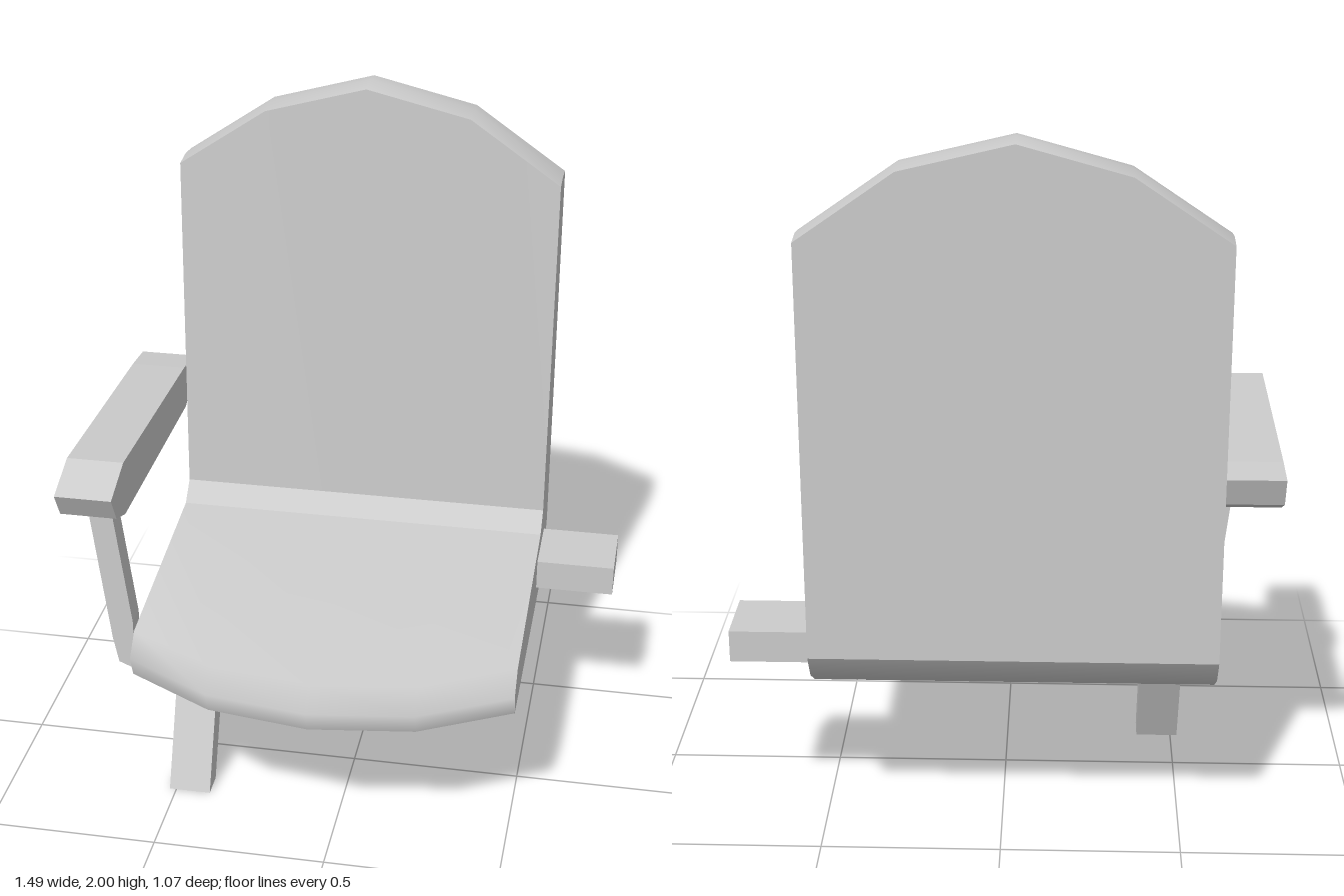
import * as THREE from 'three';

const grey = new THREE.MeshStandardMaterial({ color: 0xcccccc, side: THREE.DoubleSide });

// Stations across the chair: x, front reach of the seat, height of the backrest
const stations = [
  [-0.583, 0.36, 1.75],
  [-0.33, 0.495, 1.92],
  [-0.04, 0.537, 2.0],
  [0.255, 0.495, 1.93],
  [0.513, 0.36, 1.75],
];

// Side profile [z, y] of seat and backrest for one station
const profile = (front, top) => [
  [front - 0.022, 0.47], [front, 0.535], [front - 0.056, 0.595],     // rolled front edge
  [-0.3, 0.677], [-0.355, 0.73],                                     // seat and fillet
  [-0.404, top - 0.008], [-0.47, top], [-0.535, top - 0.008],        // crown
  [-0.535, 0.6], [-0.485, 0.525], [-0.4, 0.47],                      // rear and lower bevel
];

function mesh(name, geometry) {
  const m = new THREE.Mesh(geometry, grey);
  m.name = name;
  return m;
}

const toShape = (points) => new THREE.Shape(points.map(([z, y]) => new THREE.Vector2(z, y)));

// Smooth skin through a run of profile points, lofted across all stations
function skin(name, run) {
  const position = [], index = [], n = stations.length;
  for (const k of run) {
    for (const [x, front, top] of stations) {
      const [z, y] = profile(front, top)[k];
      position.push(x, y, z);
    }
  }
  for (let i = 0; i < run.length - 1; i++) {
    for (let j = 0; j < n - 1; j++) {
      const a = i * n + j, c = a + n;
      index.push(a, a + 1, c, a + 1, c + 1, c);
    }
  }
  const g = new THREE.BufferGeometry();
  g.setAttribute('position', new THREE.Float32BufferAttribute(position, 3));
  g.setIndex(index);
  g.computeVertexNormals();
  return mesh(name, g);
}

// Flat side wall closing one end of the shell
function sideWall(name, [x, front, top]) {
  const g = new THREE.ShapeGeometry(toShape(profile(front, top)));
  g.rotateY(-Math.PI / 2).translate(x, 0, 0);
  return mesh(name, g);
}

// Prism with a [z, y] outline between two x positions
function sidePrism(name, points, x0, x1) {
  const g = new THREE.ExtrudeGeometry(toShape(points), { depth: x1 - x0, bevelEnabled: false });
  g.rotateY(-Math.PI / 2).translate(x1, 0, 0);
  return mesh(name, g);
}

export function createModel() {
  const model = new THREE.Group();
  model.name = 'chair';

  // Seat and backrest shell, creased between runs
  const shell = new THREE.Group();
  shell.name = 'seatAndBackrest';
  shell.add(
    skin('seatTop', [0, 1, 2, 3]),
    skin('seatFillet', [3, 4]),
    skin('backrestFront', [4, 5]),
    skin('backrestCrown', [5, 6, 7]),
    skin('backrestRear', [7, 8]),
    skin('lowerBevel', [8, 9, 10]),
    skin('seatUnderside', [10, 0]),
    sideWall('rightWall', stations[0]),
    sideWall('leftWall', stations[4]),
  );
  model.add(shell);

  // Armrest on the right side
  model.add(sidePrism('armrest', [
    [0.43, 1.085], [0.3, 1.135], [-0.36, 1.11], [-0.47, 1.1],
    [-0.44, 1.02], [-0.36, 0.98], [0.31, 0.98], [0.39, 1.01],
  ], -0.745, -0.586));

  // Slanted post carrying the armrest, outlined in [x, y]
  const post = new THREE.ExtrudeGeometry(toShape([
    [-0.692, 0.985], [-0.645, 0.57], [-0.63, 0.49], [-0.583, 0.47],
    [-0.583, 0.63], [-0.625, 0.985],
  ]), { depth: 0.062, bevelEnabled: false });
  model.add(mesh('armrestPost', post.translate(0, 0, 0.25)));

  // Slanted leg under the seat
  model.add(sidePrism('leg', [
    [0.17, 0], [0.245, 0], [0.035, 0.475], [-0.04, 0.475],
  ], -0.52, -0.397));

  // Stub bracket on the left side
  const bracket = new THREE.BoxGeometry(0.24, 0.09, 0.2);
  model.add(mesh('sideBracket', bracket.translate(0.62, 0.58, -0.328)));

  return model;
}
